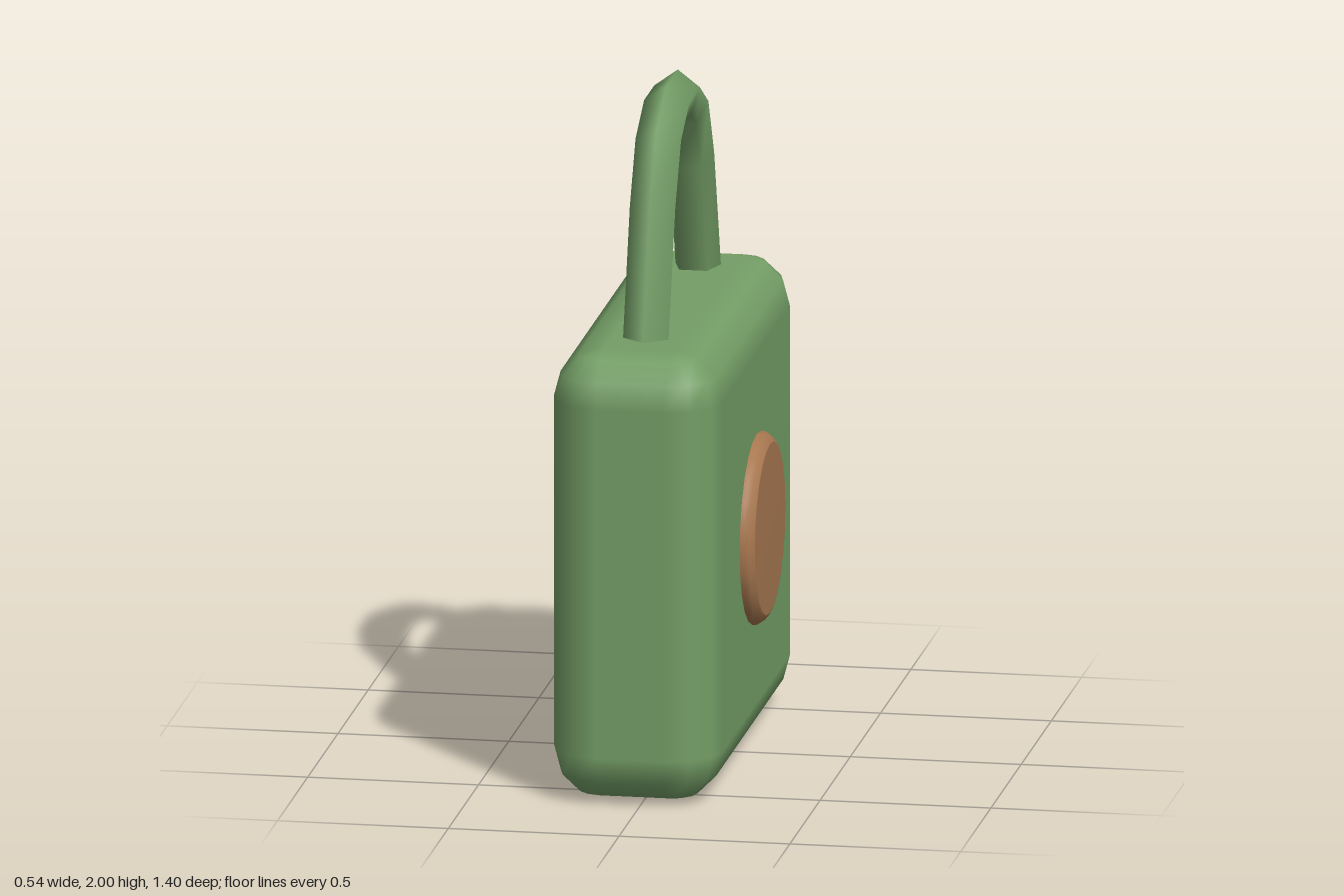
import * as THREE from 'three';

const green = new THREE.MeshStandardMaterial({ color: 0x749e66 });
const brown = new THREE.MeshStandardMaterial({ color: 0xa87850 });
const CX = -0.022; // middle of the body across x

// Reshapes a grid by a rule giving position and normal for each column and row
function surface(cols, rows, rule) {
  const geo = new THREE.PlaneGeometry(1, 1, cols, rows);
  const { position, normal } = geo.attributes;
  for (let r = 0; r <= rows; r++) {
    for (let c = 0; c <= cols; c++) {
      const { p, n } = rule(c, r);
      const i = r * (cols + 1) + c;
      position.setXYZ(i, p.x, p.y, p.z);
      normal.setXYZ(i, n.x, n.y, n.z);
    }
  }
  return geo;
}

// Box whose edges and corners are rounded in three steps
function bevelledBox(w, h, d, radius) {
  const half = new THREE.Vector3(w / 2 - radius, h / 2 - radius, d / 2 - radius);
  return surface(16, 9, (c, r) => {
    const q = Math.floor((c % 16) / 4);
    const turn = (q * 3 + (c % 4)) * Math.PI / 6;
    const cap = r === 0 || r === 9; // end rows close the top and bottom
    const row = THREE.MathUtils.clamp(r - 1, 0, 7);
    const polar = (row < 4 ? row : row - 1) * Math.PI / 6;
    const n = new THREE.Vector3(
      Math.sin(polar) * Math.sin(turn), Math.cos(polar), Math.sin(polar) * Math.cos(turn));
    const corner = new THREE.Vector3(q < 2 ? 1 : -1, row < 4 ? 1 : -1, q === 0 || q === 3 ? 1 : -1);
    if (cap) corner.x = corner.z = 0;
    return { p: corner.multiply(half).addScaledVector(n, radius), n };
  });
}

// Five-sided bar along a planar path, one ridge facing outward
function archBar(path, radius) {
  return surface(5, path.length - 1, (c, r) => {
    const at = path[r];
    const before = path[r - 1] ?? at, after = path[r + 1] ?? at;
    const tangent = at.clone().sub(before).normalize()
      .add(after.clone().sub(at).normalize()).normalize();
    const out = new THREE.Vector3(0, -tangent.z, tangent.y);
    const side = out.clone().cross(tangent);
    const a = c * Math.PI * 2 / 5;
    const n = out.multiplyScalar(Math.cos(a)).addScaledVector(side, Math.sin(a));
    return { p: at.clone().addScaledVector(n, radius), n };
  });
}

export function createModel() {
  const group = new THREE.Group();
  const add = (name, geo, material, x, y) => {
    const mesh = new THREE.Mesh(geo, material);
    mesh.name = name;
    mesh.position.set(x, y, 0);
    group.add(mesh);
    return mesh;
  };

  // Rounded body
  add('body', bevelledBox(0.495, 1.335, 1.405, 0.148), green, CX, 0.6675);

  // Arched handle, mirrored front to back
  const halfArch = [[0.427, 1.28], [0.302, 1.688], [0.211, 1.86], [0.08, 1.932]];
  const path = [...halfArch, ...halfArch.map(([z, y]) => [-z, y]).reverse()]
    .map(([z, y]) => new THREE.Vector3(0, y, z));
  add('handle', archBar(path, 0.07), green, CX, 0);

  // Round bevelled button on the left face
  const profile = [[0.28, -0.02], [0.28, 0.012], [0.272, 0.026], [0.254, 0.04], [0.25, 0.0405], [0, 0.0405]]
    .map(([r, y]) => new THREE.Vector2(r, y));
  const button = add('button', new THREE.LatheGeometry(profile, 24), brown, 0.225, 0.67);
  button.rotation.z = -Math.PI / 2;

  return group;
}
